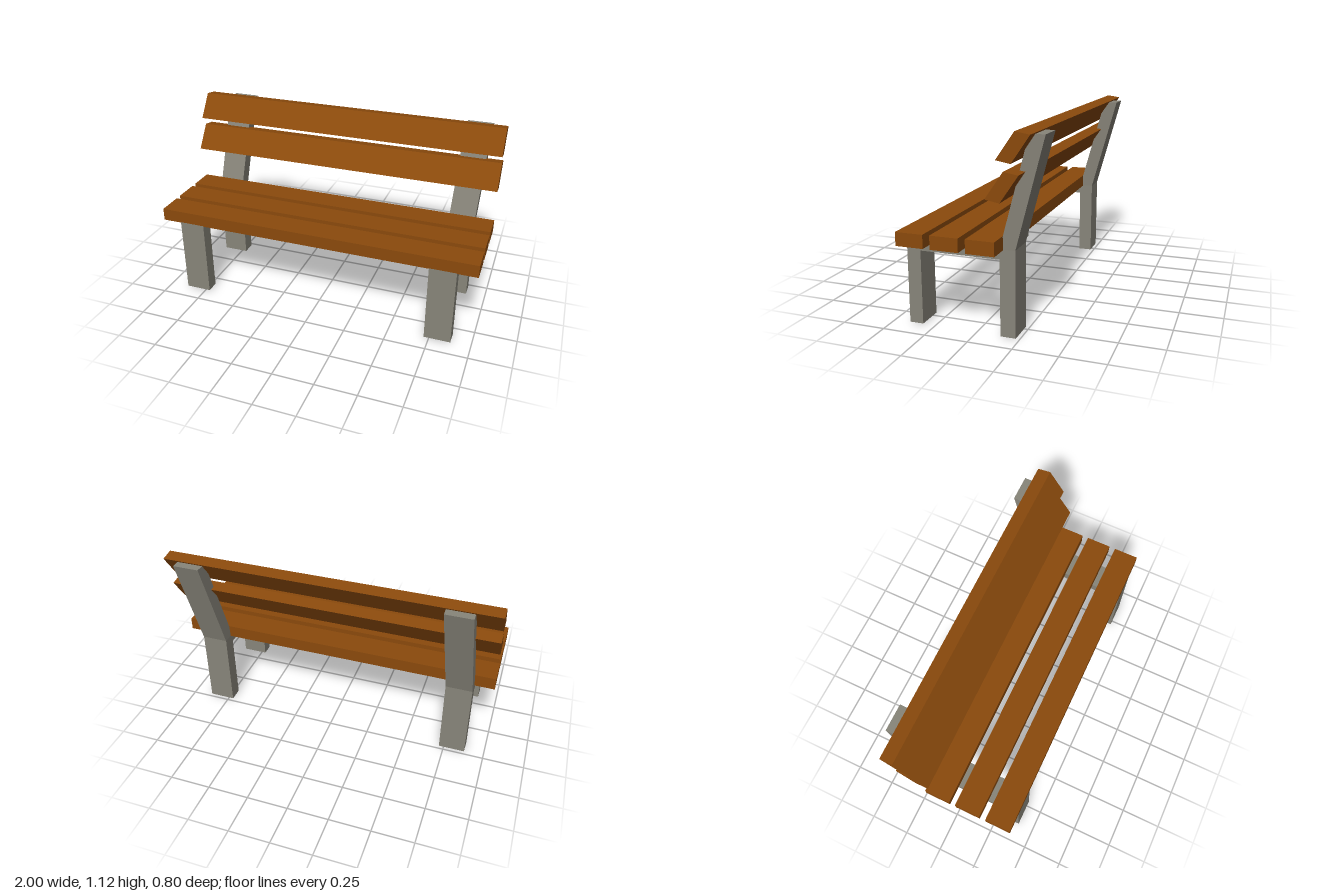
import * as THREE from 'three';

const wood = new THREE.MeshStandardMaterial({ color: 0x8b4a0c, flatShading: true });
const stone = new THREE.MeshStandardMaterial({ color: 0x88857a, flatShading: true });

// Extrudes a [z, y] outline along x, centred on x = 0
function extrudeAlongX(outline, width) {
  const shape = new THREE.Shape(outline.map(([z, y]) => new THREE.Vector2(z, y)));
  const geometry = new THREE.ExtrudeGeometry(shape, { depth: width, bevelEnabled: false });
  return geometry.rotateY(-Math.PI / 2).translate(width / 2, 0, 0);
}

function addPart(group, name, geometry, material) {
  const mesh = new THREE.Mesh(geometry, material);
  mesh.name = name;
  group.add(mesh);
  return mesh;
}

export function createModel() {
  const bench = new THREE.Group();
  bench.name = 'bench';

  // Side frames: front leg, seat beam and back post in one outline
  const frame = extrudeAlongX([
    [0.4, 0.005], [0.4, 0.487], [-0.14, 0.487], [-0.312, 1.1], [-0.397, 1.1],
    [-0.227, 0.487], [-0.227, 0], [-0.14, 0], [-0.14, 0.43], [0.32, 0.43], [0.32, 0.005],
  ], 0.16);

  // Both back posts lean slightly towards +x above the seat
  const pos = frame.attributes.position;
  for (let i = 0; i < pos.count; i++) {
    if (pos.getY(i) > 0.6) pos.setX(i, pos.getX(i) + 0.03);
  }
  frame.computeVertexNormals();
  addPart(bench, 'leftFrame', frame, stone).position.x = 0.8;
  addPart(bench, 'rightFrame', frame, stone).position.x = -0.8;

  // Seat slats
  [0.32, 0.12, -0.08].forEach((z, i) => {
    const slat = new THREE.BoxGeometry(2, 0.077, 0.16);
    addPart(bench, `seatSlat${i + 1}`, slat, wood).position.set(0, 0.5225, z);
  });

  // Slanted backrest slats
  const backSlat = extrudeAlongX([[-0.11, 0.777], [-0.21, 0.922], [-0.29, 0.909], [-0.19, 0.763]], 2);
  addPart(bench, 'lowerBackSlat', backSlat, wood);
  addPart(bench, 'upperBackSlat', backSlat, wood).position.set(0, 0.2, -0.06);

  return bench;
}
